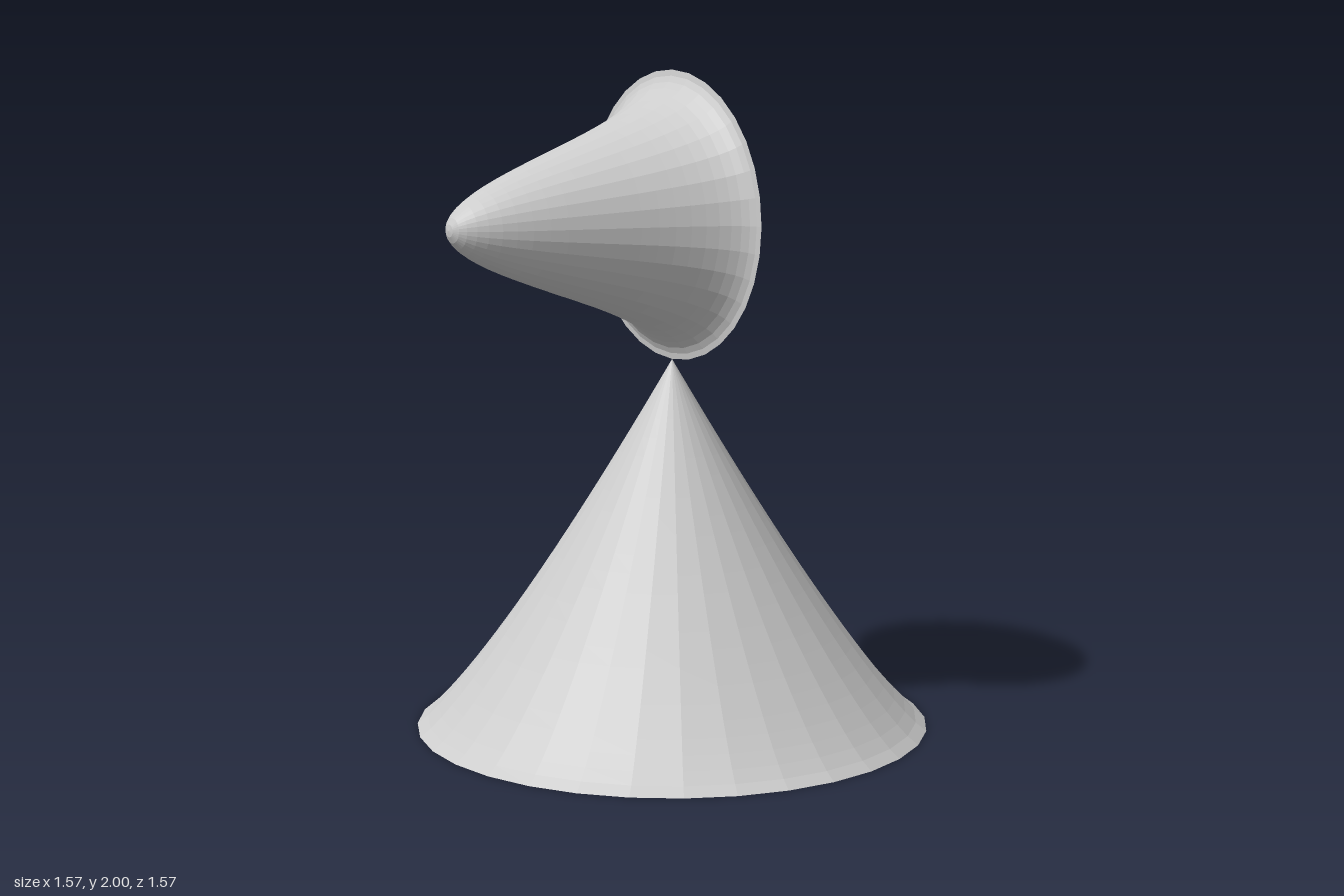
import * as THREE from 'three';

const SIDES = 32;
const STEPS = 24;

// Closed solid of revolution: flat disc at y = 0, then height(u) from rim (u = 1) to tip (u = 0)
function turned(name, radius, height) {
  const points = [new THREE.Vector2(0, 0)];
  for (let i = 0; i <= STEPS; i++) {
    const u = 1 - i / STEPS;
    points.push(new THREE.Vector2(radius * u, height(u)));
  }
  const material = new THREE.MeshStandardMaterial({ color: 0xcccccc, flatShading: true });
  const mesh = new THREE.Mesh(new THREE.LatheGeometry(points, SIDES), material);
  mesh.name = name;
  return mesh;
}

export function createModel() {
  const model = new THREE.Group();
  model.name = 'bellOnCone';

  // Pointed base with a slightly flared foot
  const baseHeight = 1.13;
  model.add(turned('baseCone', 0.785, (u) => baseHeight * Math.pow(1 - u, 1.2)));

  // Bell with a rounded nose, facing forward and balanced on the tip
  const bellRadius = 0.435;
  const bell = turned('bell', bellRadius, (u) => 0.785 * (1 + Math.cos(Math.PI * u)) / 2);
  bell.rotation.x = Math.PI / 2;
  bell.position.y = baseHeight + bellRadius;
  model.add(bell);

  return model;
}
